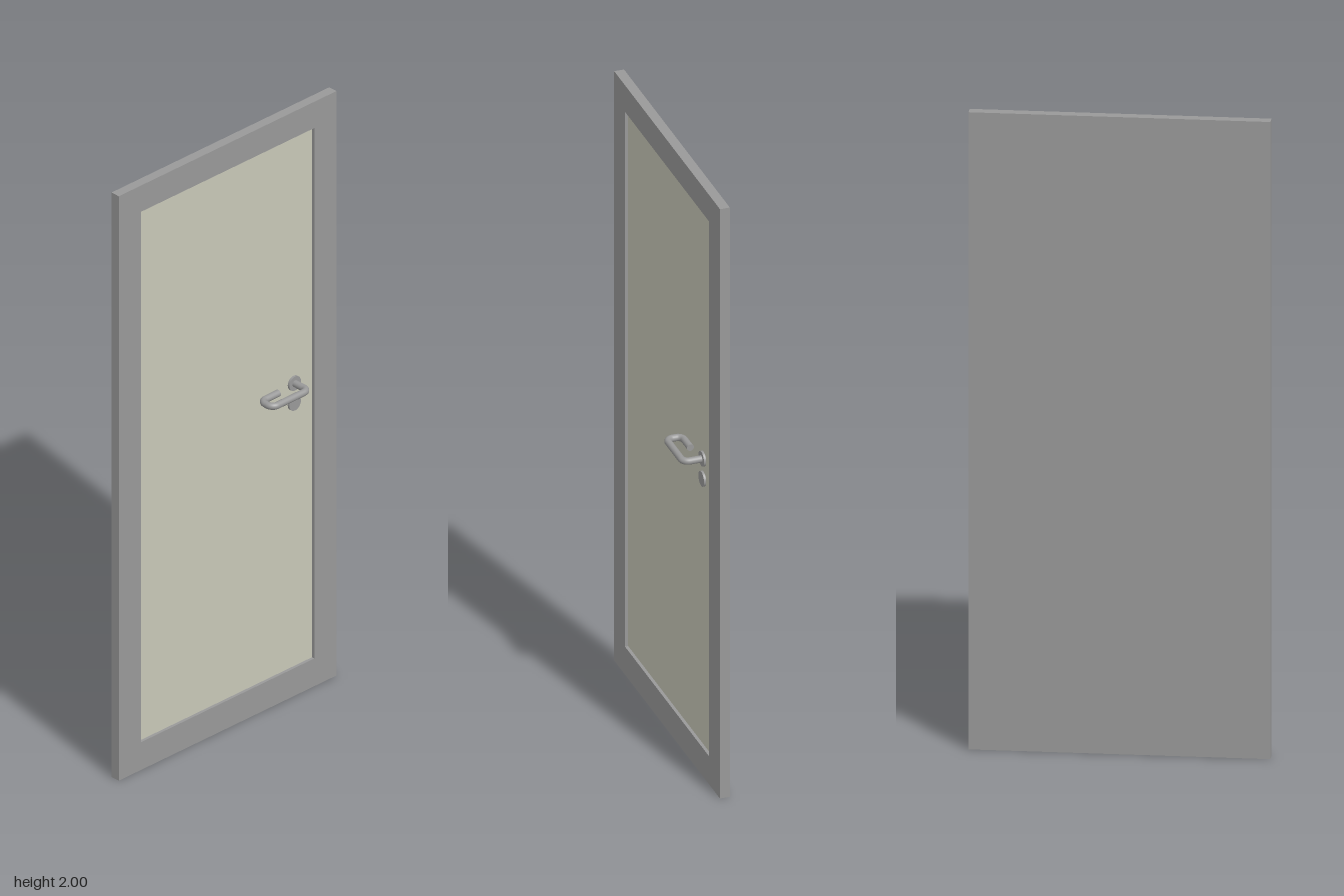
import * as THREE from 'three';

const GREY = 0x999999, CREAM = 0xc8c8b8;
const BACK = -0.048, FRONT = -0.017, PANEL_Z = -0.027;

function add(group, name, geometry, color, x = 0, y = 0, z = 0) {
  const mesh = new THREE.Mesh(geometry, new THREE.MeshStandardMaterial({ color }));
  mesh.name = name;
  mesh.position.set(x, y, z);
  group.add(mesh);
  return mesh;
}

function rectangle(target, x, y0, y1) {
  target.moveTo(-x, y0);
  target.lineTo(x, y0);
  target.lineTo(x, y1);
  target.lineTo(-x, y1);
  target.closePath();
  return target;
}

// Straight runs joined by rounded corners
function roundedPath(points, radius) {
  const path = new THREE.CurvePath();
  let from = points[0];
  for (let i = 1; i < points.length - 1; i++) {
    const corner = points[i];
    const toward = (p) => p.clone().sub(corner).setLength(radius).add(corner);
    const start = toward(points[i - 1]), end = toward(points[i + 1]);
    // Cubic handles approximate a quarter circle
    const c1 = start.clone().lerp(corner, 0.5523), c2 = end.clone().lerp(corner, 0.5523);
    path.add(new THREE.LineCurve3(from, start));
    path.add(new THREE.CubicBezierCurve3(start, c1, c2, end));
    from = end;
  }
  path.add(new THREE.LineCurve3(from, points[points.length - 1]));
  return path;
}

export function createModel() {
  const door = new THREE.Group();
  door.name = 'door';

  // Leaf: solid back with a raised border around the recessed panel
  const backDepth = 0.015;
  add(door, 'doorBack', new THREE.BoxGeometry(0.9, 2, backDepth), GREY, 0, 1, BACK + backDepth / 2);
  const border = rectangle(new THREE.Shape(), 0.45, 0, 2);
  border.holes.push(rectangle(new THREE.Path(), 0.358, 0.095, 1.91));
  add(door, 'frame', new THREE.ExtrudeGeometry(border, {
    depth: FRONT - BACK - backDepth, bevelEnabled: false,
  }), GREY, 0, 0, BACK + backDepth);
  const panelDepth = PANEL_Z - BACK - backDepth;
  add(door, 'panel', new THREE.BoxGeometry(0.716, 1.815, panelDepth), CREAM,
    0, 1.0025, PANEL_Z - panelDepth / 2);

  // Lever handle: a bent round bar returning toward the panel
  const handle = new THREE.Group();
  handle.name = 'handle';
  door.add(handle);
  const lockX = 0.282, leverY = 1.065, barRadius = 0.011;
  const points = [[lockX, PANEL_Z], [lockX, 0.036], [0.134, 0.036], [0.134, -0.014], [0.207, -0.014]]
    .map(([x, z]) => new THREE.Vector3(x, 0, z));
  add(handle, 'lever', new THREE.TubeGeometry(roundedPath(points, 0.02), 120, barRadius, 20),
    GREY, 0, leverY);
  const cap = add(handle, 'leverEnd', new THREE.CircleGeometry(barRadius, 20), GREY, 0.207, leverY, -0.014);
  cap.rotation.y = Math.PI / 2;

  // Round plates behind the lever and over the lock
  for (const [name, y] of [['leverPlate', leverY], ['lockPlate', 0.997]]) {
    const plate = add(handle, name, new THREE.CylinderGeometry(0.024, 0.024, 0.007, 32),
      GREY, lockX, y, PANEL_Z + 0.0035);
    plate.rotation.x = Math.PI / 2;
  }
  return door;
}
